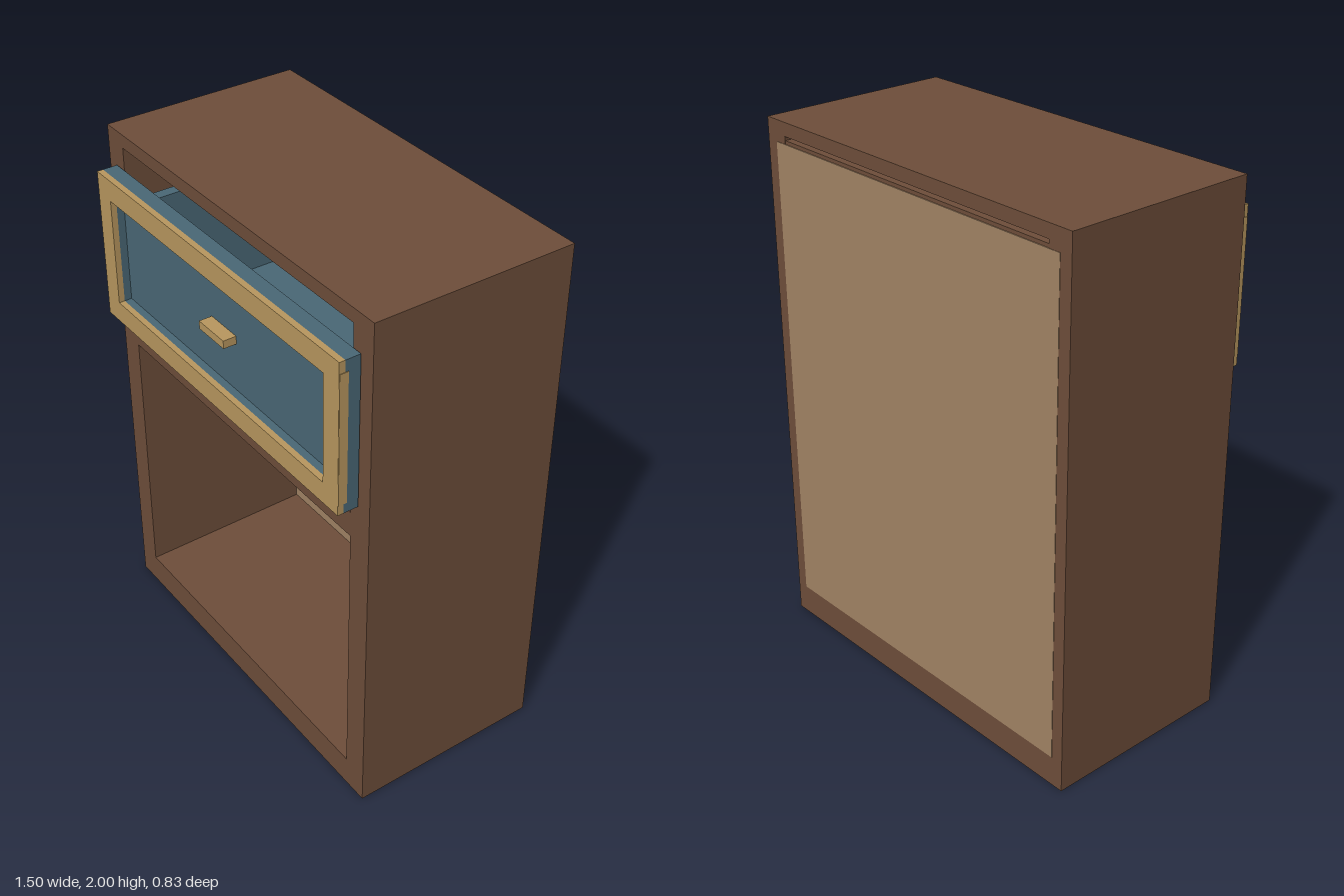
import * as THREE from 'three';

const mat = (name, color) => {
  const m = new THREE.MeshStandardMaterial({ color });
  m.name = name;
  return m;
};

export function createModel() {
  const wood = mat('dark wood', 0x6e4e3a);
  const backing = mat('light backing', 0xa28465);
  const trim = mat('golden trim', 0xb9985f);
  const blue = mat('blue paint', 0x4a6876);

  const model = new THREE.Group();
  model.name = 'cabinet';
  const carcass = new THREE.Group();
  carcass.name = 'carcass';
  const drawer = new THREE.Group();
  drawer.name = 'drawer';
  model.add(carcass, drawer);

  // Box given by its limits along each axis
  const box = (parent, name, material, [x0, x1], [y0, y1], [z0, z1]) => {
    const mesh = new THREE.Mesh(new THREE.BoxGeometry(x1 - x0, y1 - y0, z1 - z0), material);
    mesh.position.set((x0 + x1) / 2, (y0 + y1) / 2, (z0 + z1) / 2);
    mesh.name = name;
    parent.add(mesh);
  };
  const mirrored = (parent, name, material, [x0, x1], y, z) => {
    box(parent, name + 'Left', material, [x0, x1], y, z);
    box(parent, name + 'Right', material, [-x1, -x0], y, z);
  };

  // Rectangular ring for the drawer front
  const ring = (name, material, z0, z1) => {
    const rect = (Type, w, y0, y1) => new Type([
      new THREE.Vector2(-w, y0), new THREE.Vector2(w, y0),
      new THREE.Vector2(w, y1), new THREE.Vector2(-w, y1)]);
    const shape = rect(THREE.Shape, 0.695, 1.305, 1.87);
    shape.holes.push(rect(THREE.Path, 0.617, 1.385, 1.79));
    const geometry = new THREE.ExtrudeGeometry(shape, { depth: z1 - z0, bevelEnabled: false });
    const mesh = new THREE.Mesh(geometry, material);
    mesh.position.z = z0;
    mesh.name = name;
    drawer.add(mesh);
  };

  // Carcass
  const depth = [-0.414, 0.334];
  mirrored(carcass, 'side', wood, [0.652, 0.748], [0, 2], depth);
  box(carcass, 'top', wood, [-0.652, 0.652], [1.95, 2], depth);
  box(carcass, 'bottom', wood, [-0.652, 0.652], [0, 0.118], depth);
  box(carcass, 'shelf', wood, [-0.652, 0.652], [1.155, 1.25], [-0.37, 0.334]);
  box(carcass, 'backPanel', backing, [-0.7, 0.7], [0.115, 1.922], [-0.4155, -0.36]);
  box(carcass, 'backRail', wood, [-0.652, 0.652], [1.87, 1.935], [-0.412, -0.365]);

  // Drawer box, open at the top
  const boxDepth = [-0.35, 0.342];
  mirrored(drawer, 'drawerSide', blue, [0.59, 0.632], [1.306, 1.76], boxDepth);
  box(drawer, 'drawerBack', blue, [-0.59, 0.59], [1.306, 1.76], [-0.35, -0.31]);
  box(drawer, 'drawerBottom', blue, [-0.59, 0.59], [1.306, 1.345], [-0.31, 0.342]);
  mirrored(drawer, 'runner', trim, [0.32, 0.515], [1.265, 1.306], [-0.3, 0.3]);

  // Recessed drawer front with a raised golden frame
  box(drawer, 'drawerPanel', blue, [-0.695, 0.695], [1.305, 1.87], [0.338, 0.365]);
  ring('panelBorder', blue, 0.365, 0.393);
  ring('frontFrame', trim, 0.393, 0.415);
  mirrored(drawer, 'frameEdge', trim, [0.69, 0.697], [1.343, 1.828], [0.382, 0.414]);
  box(drawer, 'handle', trim, [-0.072, 0.072], [1.57, 1.6], [0.36, 0.414]);

  return model;
}
